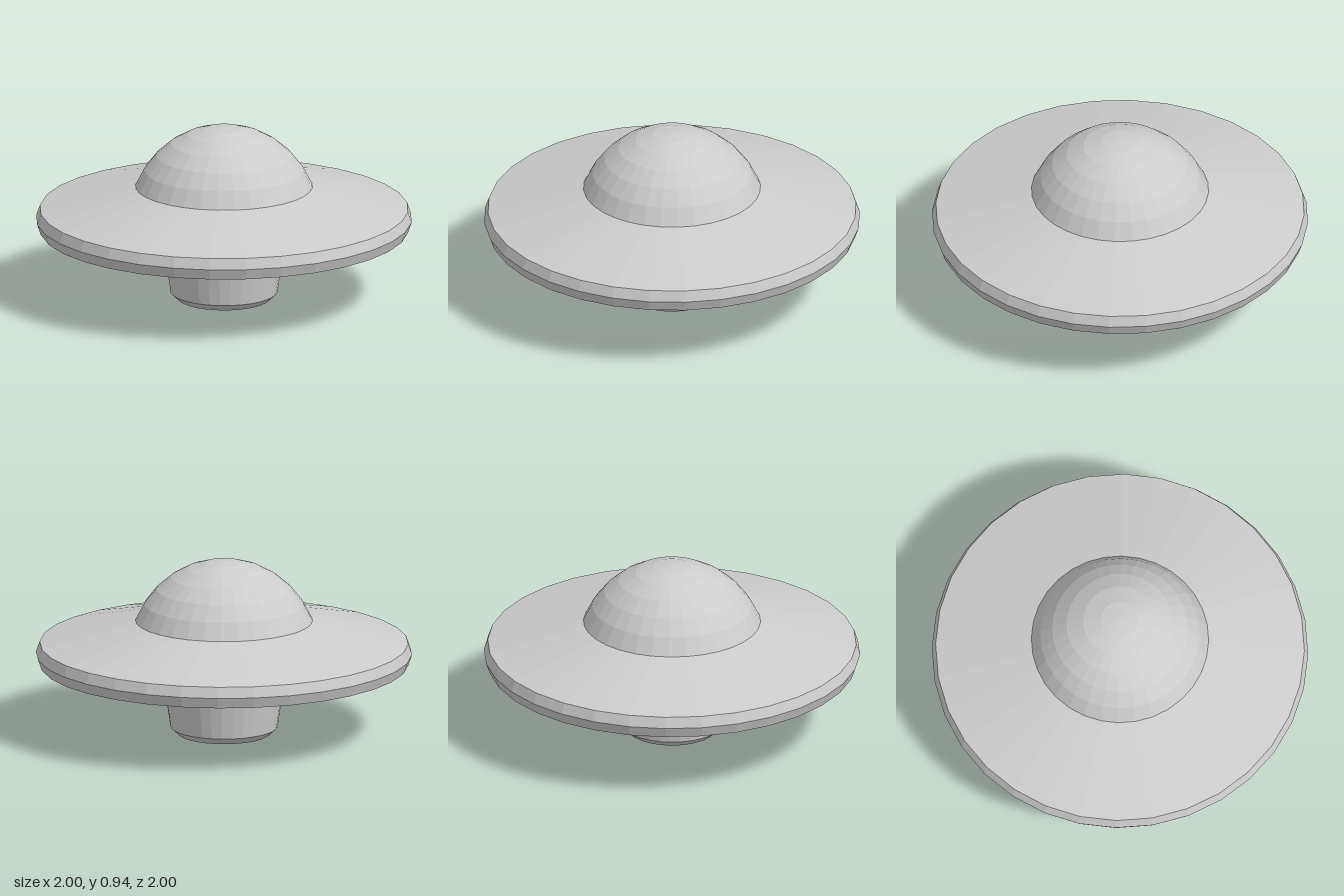
import * as THREE from 'three';

const SIDES = 32;

// Faceted solid of revolution from a profile listed bottom to top
function turned(name, profile, material) {
  const points = profile.map(([r, y]) => new THREE.Vector2(r, y));
  const geometry = new THREE.LatheGeometry(points, SIDES).toNonIndexed();
  geometry.computeVertexNormals();
  const mesh = new THREE.Mesh(geometry, material);
  mesh.name = name;
  return mesh;
}

export function createModel() {
  const group = new THREE.Group();
  group.name = 'flyingSaucer';
  const hull = new THREE.MeshStandardMaterial({ color: 0xcccccc });
  hull.name = 'hull grey';

  // Tapered pod underneath, with a chamfered closed base
  group.add(turned('lowerPod', [[0, 0], [0.243, 0], [0.285, 0.038], [0.323, 0.297]], hull));

  // Wide disc with a bevelled rim
  group.add(turned('disc', [[0.323, 0.297], [0.98, 0.38], [1, 0.438], [0.98, 0.495], [0.471, 0.618]], hull));

  // Dome: rings of a slightly tall sphere cap, ending at the top pole
  const dome = [];
  for (let i = 6; i >= 0; i--) {
    const a = (i * Math.PI) / 16;
    dome.push([0.51 * Math.sin(a), 0.945 - 0.53 * (1 - Math.cos(a))]);
  }
  group.add(turned('dome', dome, hull));

  return group;
}
